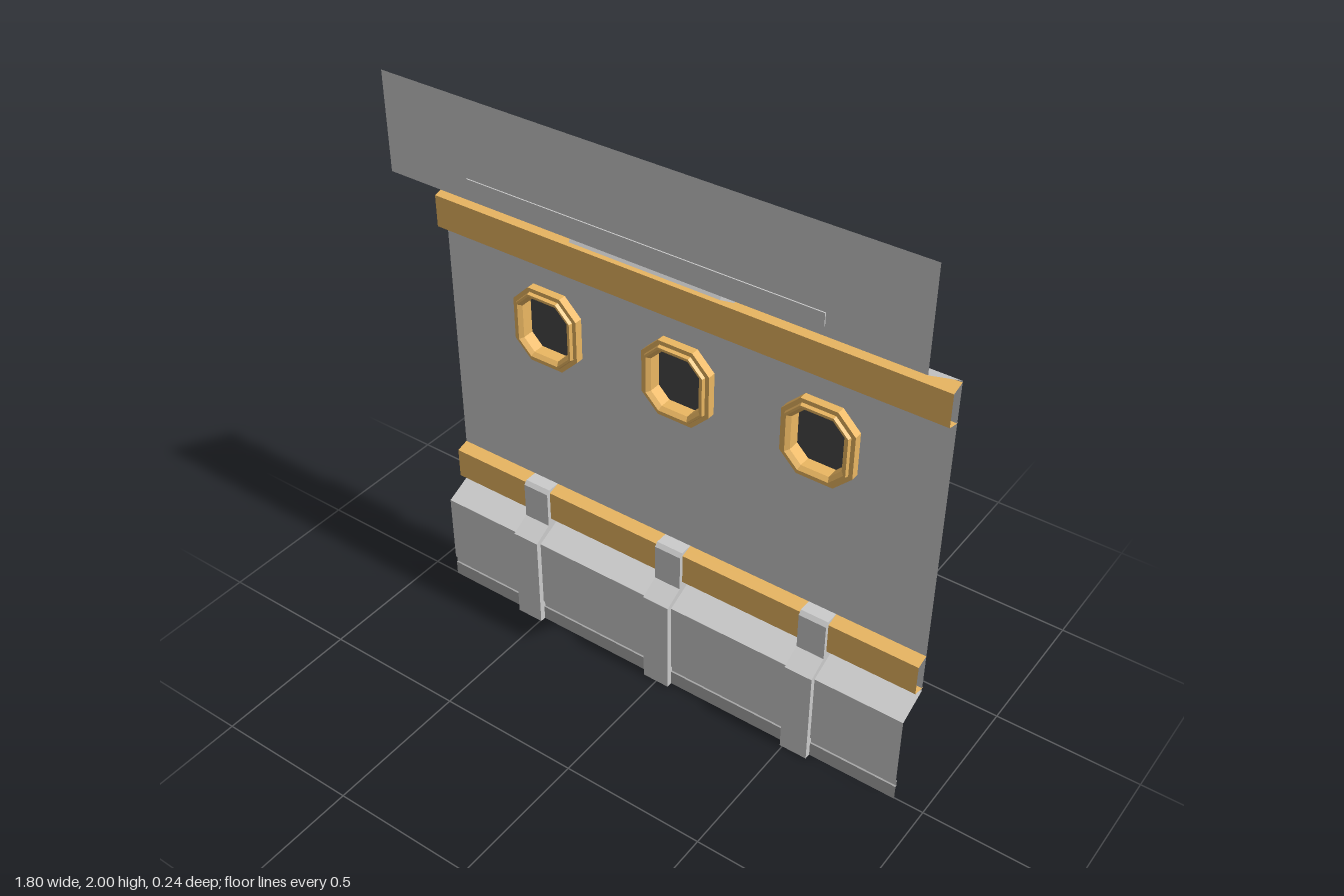
import * as THREE from 'three';

const HALF = 0.9;
const mat = (color) => new THREE.MeshStandardMaterial({ color, flatShading: true, side: THREE.DoubleSide });

// Thin sheet: a [z, y] profile, listed top to bottom, swept across the full width
function sheet(name, profile, material) {
  const pos = [], idx = [];
  profile.forEach(([z, y], i) => {
    pos.push(-HALF, y, z, HALF, y, z);
    if (i) {
      const a = 2 * i - 2;
      idx.push(a, a + 2, a + 1, a + 1, a + 2, a + 3);
    }
  });
  return surface(name, pos, idx, material);
}

function surface(name, pos, idx, material) {
  let g = new THREE.BufferGeometry();
  g.setAttribute('position', new THREE.Float32BufferAttribute(pos, 3));
  g.setIndex(idx);
  g = g.toNonIndexed();
  g.computeVertexNormals();
  const mesh = new THREE.Mesh(g, material);
  mesh.name = name;
  return mesh;
}

// Tall octagon with cut corners, shrunk evenly by an inset
function octagon(inset) {
  const w = 0.123 - inset, h = 0.135 - inset, c = 0.061 - inset * 0.586;
  return [[w, h - c], [w - c, h], [c - w, h], [-w, h - c], [-w, c - h], [c - w, -h], [w - c, -h], [w, c - h]]
    .map(([x, y]) => new THREE.Vector2(x, y));
}

// Closed ring lofted through octagons given as [inset, z]
function octagonFrame(name, rings, material) {
  const pos = [], idx = [], n = rings.length;
  rings.forEach(([inset, z]) => octagon(inset).forEach((p) => pos.push(p.x, p.y, z)));
  for (let r = 0; r < n; r++) {
    for (let i = 0; i < 8; i++) {
      const j = (i + 1) % 8, a = r * 8, b = ((r + 1) % n) * 8;
      idx.push(a + i, a + j, b + j, a + i, b + j, b + i);
    }
  }
  return surface(name, pos, idx, material);
}

export function createModel() {
  const model = new THREE.Group();
  model.name = 'wallPanel';
  const grey = mat(0xcccccc), kickGrey = mat(0xa9a9a9), gold = mat(0xebb762), dark = mat(0x474747);
  const wallZ = -0.1, windowY = 1.165, windowXs = [-0.495, 0, 0.495];

  // Flat wall pierced by the window openings
  const wallShape = new THREE.Shape([[-HALF, 0.39], [HALF, 0.39], [HALF, 1.535], [-HALF, 1.535]]
    .map(([x, y]) => new THREE.Vector2(x, y)));
  for (const x of windowXs) {
    wallShape.holes.push(new THREE.Path(octagon(0.02).map((p) => p.add(new THREE.Vector2(x, windowY))).reverse()));
  }
  const wall = new THREE.Mesh(new THREE.ShapeGeometry(wallShape), grey);
  wall.name = 'wall';
  wall.position.z = wallZ;
  model.add(wall);

  // Folded header above, wainscot and kick plate below
  model.add(sheet('header', [[0.115, 2], [0.115, 1.675], [wallZ, 1.535]], grey));
  model.add(sheet('wainscot', [[wallZ, 0.39], [0.005, 0.34], [0.005, 0.08], [-0.002, 0.078], [-0.002, 0.055]], grey));
  model.add(sheet('kickPlate', [[-0.002, 0.055], [0.003, 0.053], [0.003, 0]], kickGrey));

  // Gold rails, open at the ends
  for (const [name, y] of [['upperRail', 1.395], ['lowerRail', 0.4]]) {
    model.add(sheet(name, [[-0.101, y + 0.135], [-0.056, y + 0.122], [-0.056, y + 0.012], [-0.106, y]], gold));
  }

  // Ribs over the wainscot
  const ribShape = new THREE.Shape([[0.1, 0], [0.1, 0.535], [0.052, 0.535], [0.04, 0.522],
    [0.04, 0.39], [-0.026, 0.352], [-0.026, 0]].map(([z, y]) => new THREE.Vector2(z, y)));
  const ribGeometry = new THREE.ExtrudeGeometry(ribShape, { depth: 0.098, bevelEnabled: false });
  ribGeometry.translate(0, 0, -0.049).rotateY(Math.PI / 2);
  ribGeometry.rotateY(0);
  ribGeometry.translate(0, 0, -0.002);
  for (const x of [-0.545, -0.003, 0.54]) {
    const rib = new THREE.Mesh(ribGeometry, grey);
    rib.name = 'rib';
    rib.position.x = x;
    model.add(rib);
  }

  // Octagonal windows: stepped gold frame with dark glass
  for (const x of windowXs) {
    const win = new THREE.Group();
    win.name = 'window';
    win.position.set(x, windowY, 0);
    win.add(octagonFrame('windowFrame', [[0, -0.12], [0, -0.072], [0.014, -0.072], [0.017, -0.06],
      [0.024, -0.06], [0.036, -0.072], [0.036, -0.12]], gold));
    const glass = new THREE.Mesh(new THREE.ShapeGeometry(new THREE.Shape(octagon(0.036))), dark);
    glass.name = 'glass';
    glass.position.z = -0.112;
    win.add(glass);
    model.add(win);
  }

  // Light fitting set into the sloping soffit
  const rect = (w, h) => [[-w, -h], [w, -h], [w, h], [-w, h]].map(([x, y]) => new THREE.Vector2(x, y));
  const frameShape = new THREE.Shape(rect(0.26, 0.043));
  frameShape.holes.push(new THREE.Path(rect(0.235, 0.024).reverse()));
  const light = new THREE.Group();
  light.name = 'soffitLight';
  const frame = new THREE.Mesh(new THREE.ExtrudeGeometry(frameShape, { depth: 0.012, bevelEnabled: false }), grey);
  frame.name = 'lightFrame';
  const lens = new THREE.Mesh(new THREE.BoxGeometry(0.47, 0.048, 0.004), grey);
  lens.name = 'lightLens';
  lens.position.z = 0.004;
  light.add(frame, lens);
  light.position.set(-0.02, 1.605, 0.015);
  light.rotation.x = Math.atan2(0.215, 0.14);
  model.add(light);

  // Slim strip along the header
  const strip = new THREE.Mesh(new THREE.BoxGeometry(1.2, 0.042, 0.012), grey);
  strip.name = 'headerStrip';
  strip.position.set(0, 1.725, 0.113);
  model.add(strip);
  return model;
}
